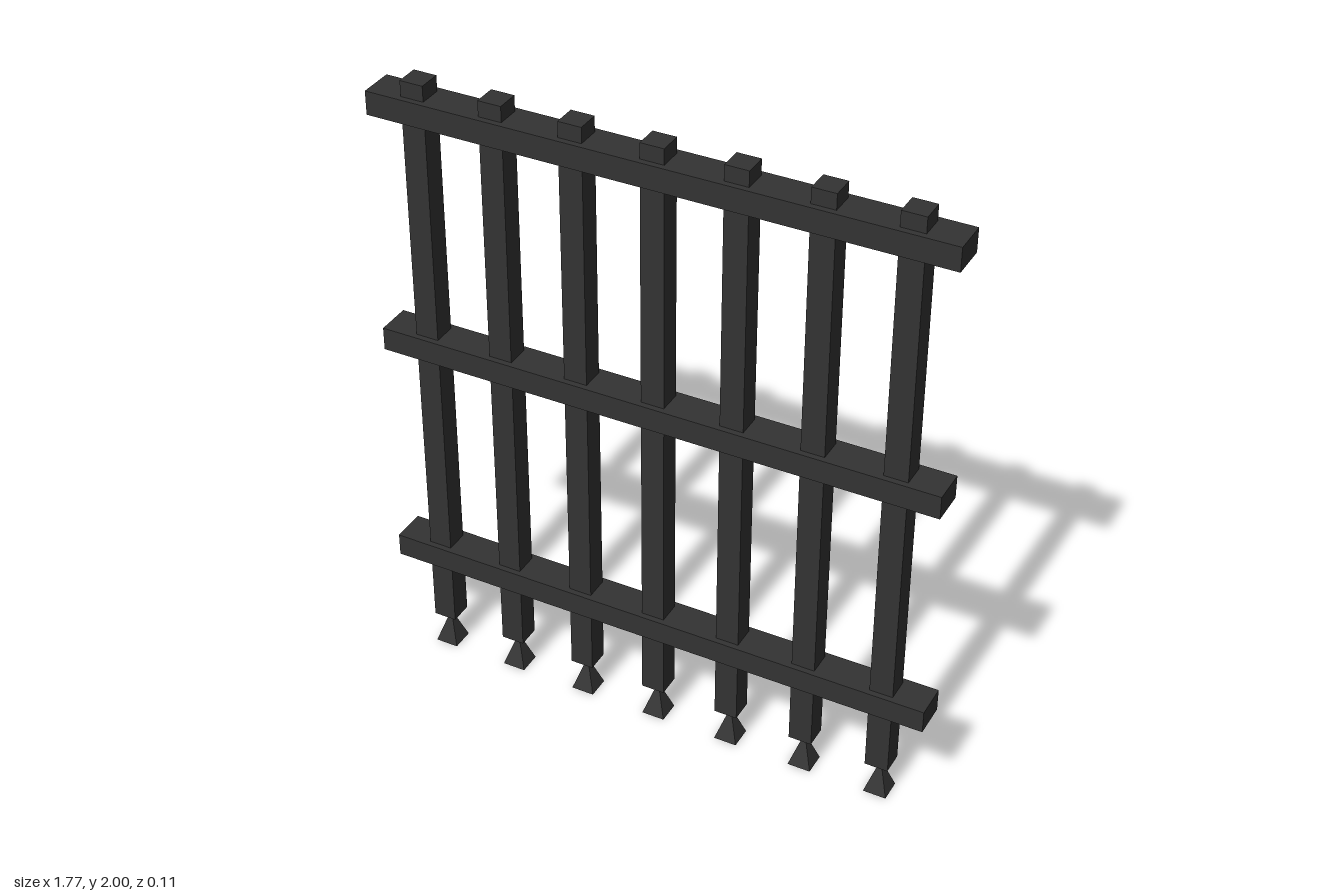
import * as THREE from 'three';

export function createModel() {
  const model = new THREE.Group();
  model.name = 'gate';

  const iron = new THREE.MeshStandardMaterial({ color: 0x333333 });
  iron.name = 'darkIron';

  const barWidth = 0.073, tipHeight = 0.11, height = 2, spacing = 0.248;

  const add = (name, geometry, x, y) => {
    const mesh = new THREE.Mesh(geometry, iron);
    mesh.name = name;
    mesh.position.set(x, y, 0);
    model.add(mesh);
  };

  // Square upright bars, each standing on a four-sided pyramid foot
  const barGeometry = new THREE.BoxGeometry(barWidth, height - tipHeight, barWidth);
  const footGeometry = new THREE.ConeGeometry(barWidth / Math.SQRT2, tipHeight, 4, 1)
    .rotateY(Math.PI / 4)
    .toNonIndexed();
  footGeometry.computeVertexNormals();

  for (let i = -3; i <= 3; i++) {
    add('uprightBar', barGeometry, i * spacing, (height + tipHeight) / 2);
    add('pyramidFoot', footGeometry, i * spacing, tipHeight / 2);
  }

  // Horizontal rails, thicker than the bars
  const railGeometry = new THREE.BoxGeometry(1.77, 0.074, 0.11);
  add('bottomRail', railGeometry, 0, 0.362);
  add('middleRail', railGeometry, 0, 1.133);
  add('topRail', railGeometry, 0, 1.914);

  return model;
}
